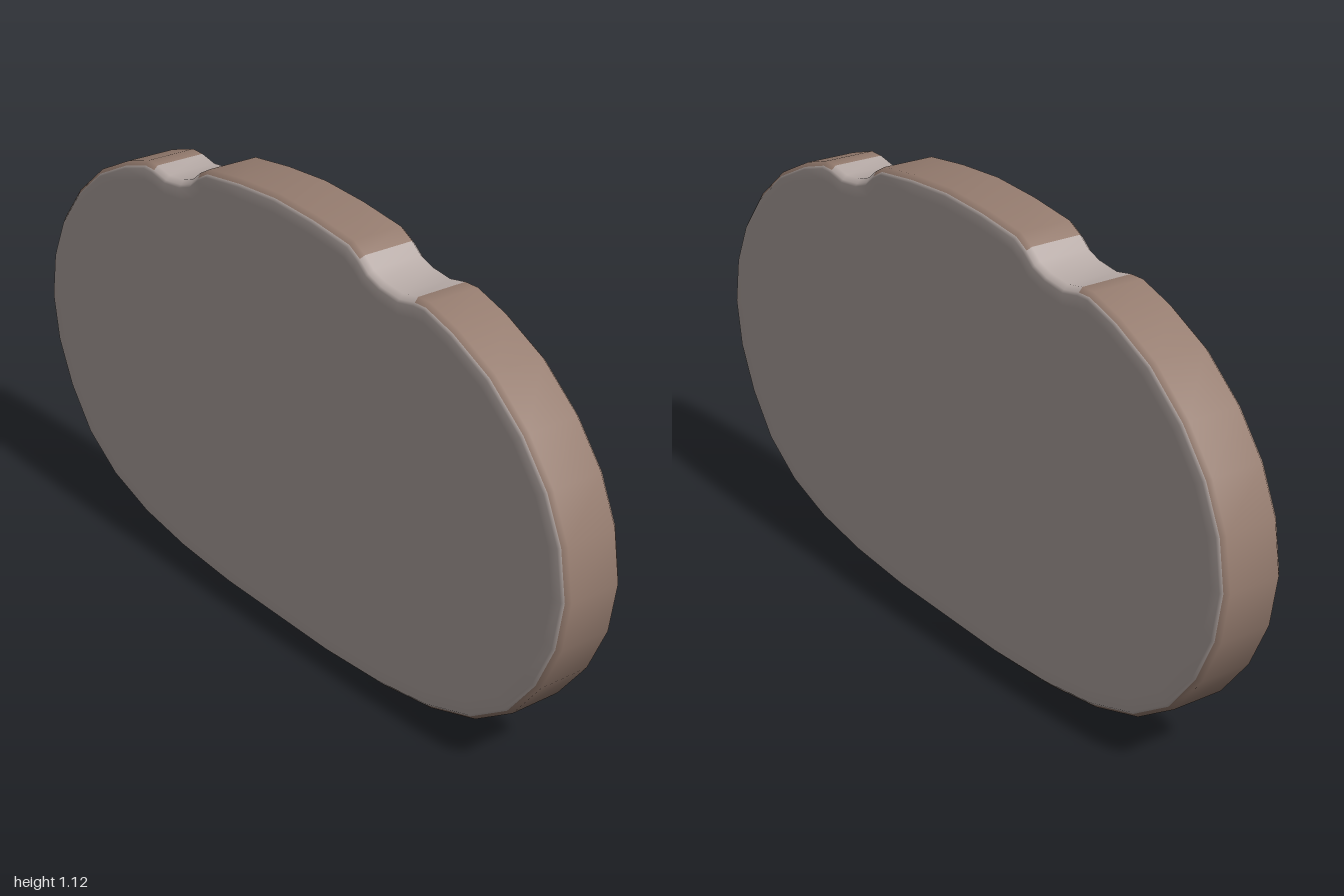
import * as THREE from 'three';

const faceMat = new THREE.MeshStandardMaterial({ name: 'pale stone', color: 0xb8aca8 });
const rimMat = new THREE.MeshStandardMaterial({ name: 'brown rim', color: 0x957c6f });

// Right half of the outline, from bottom centre round to top centre
const half = [
  [0, 0], [0.2, 0], [0.4, 0.013], [0.57, 0.04], [0.72, 0.09], [0.84, 0.17], [0.925, 0.28],
  [0.98, 0.4], [1, 0.525], [0.98, 0.65], [0.93, 0.76], [0.85, 0.86], [0.74, 0.95],
  [0.62, 1.008], [0.53, 1.036], [0.49, 1.035], [0.44, 1.025], [0.38, 1.032], [0.34, 1.046],
  [0.31, 1.07], [0.27, 1.092], [0.14, 1.108], [0, 1.116],
];
const NOTCH_MIN = 0.31, NOTCH_MAX = 0.49;

// Rings from front to back: [inset from the outline, z]
const frontRings = [[0.045, 0.082], [0.016, 0.082], [0.01, 0.076], [0, 0.066]];
const rings = [...frontRings, ...frontRings.map(([d, z]) => [d, -z]).reverse()];

function insetOutline(points, d) {
  const n = points.length;
  return points.map((p, i) => {
    const a = p.clone().sub(points[(i + n - 1) % n]).normalize();
    const b = points[(i + 1) % n].clone().sub(p).normalize();
    const na = new THREE.Vector2(-a.y, a.x), nb = new THREE.Vector2(-b.y, b.x);
    const m = na.clone().add(nb).normalize();
    return p.clone().addScaledVector(m, d / m.dot(na));
  });
}

export function createModel() {
  const mirrored = half.slice(1, -1).reverse().map(([x, y]) => [-x, y]);
  const outline = [...half, ...mirrored].map(([x, y]) => new THREE.Vector2(x, y));
  const n = outline.length;

  const positions = [];
  for (const [d, z] of rings) {
    for (const p of insetOutline(outline, d)) positions.push(p.x, p.y, z);
  }

  // Front and back faces
  const faceIndex = [], rimIndex = [];
  const last = (rings.length - 1) * n;
  for (const [a, b, c] of THREE.ShapeUtils.triangulateShape(insetOutline(outline, rings[0][0]), [])) {
    faceIndex.push(a, b, c, last + a, last + c, last + b);
  }

  // Softened edges and side wall; the two notches keep the face colour
  for (let r = 0; r < rings.length - 1; r++) {
    const inRim = r >= 2 && r <= rings.length - 4;
    for (let i = 0; i < n; i++) {
      const j = (i + 1) % n;
      const mx = Math.abs(outline[i].x + outline[j].x) / 2;
      const inNotch = outline[i].y > 0.9 && mx > NOTCH_MIN && mx < NOTCH_MAX;
      const a = r * n + i, b = r * n + j, c = a + n, d = b + n;
      (inRim && !inNotch ? rimIndex : faceIndex).push(a, c, d, a, d, b);
    }
  }

  const geometry = new THREE.BufferGeometry();
  geometry.setAttribute('position', new THREE.Float32BufferAttribute(positions, 3));
  geometry.setIndex([...faceIndex, ...rimIndex]);
  geometry.addGroup(0, faceIndex.length, 0);
  geometry.addGroup(faceIndex.length, rimIndex.length, 1);
  geometry.computeVertexNormals();

  const slab = new THREE.Mesh(geometry, [faceMat, rimMat]);
  slab.name = 'notchedSlab';
  const group = new THREE.Group();
  group.name = 'notchedOvalSlab';
  group.add(slab);
  return group;
}
